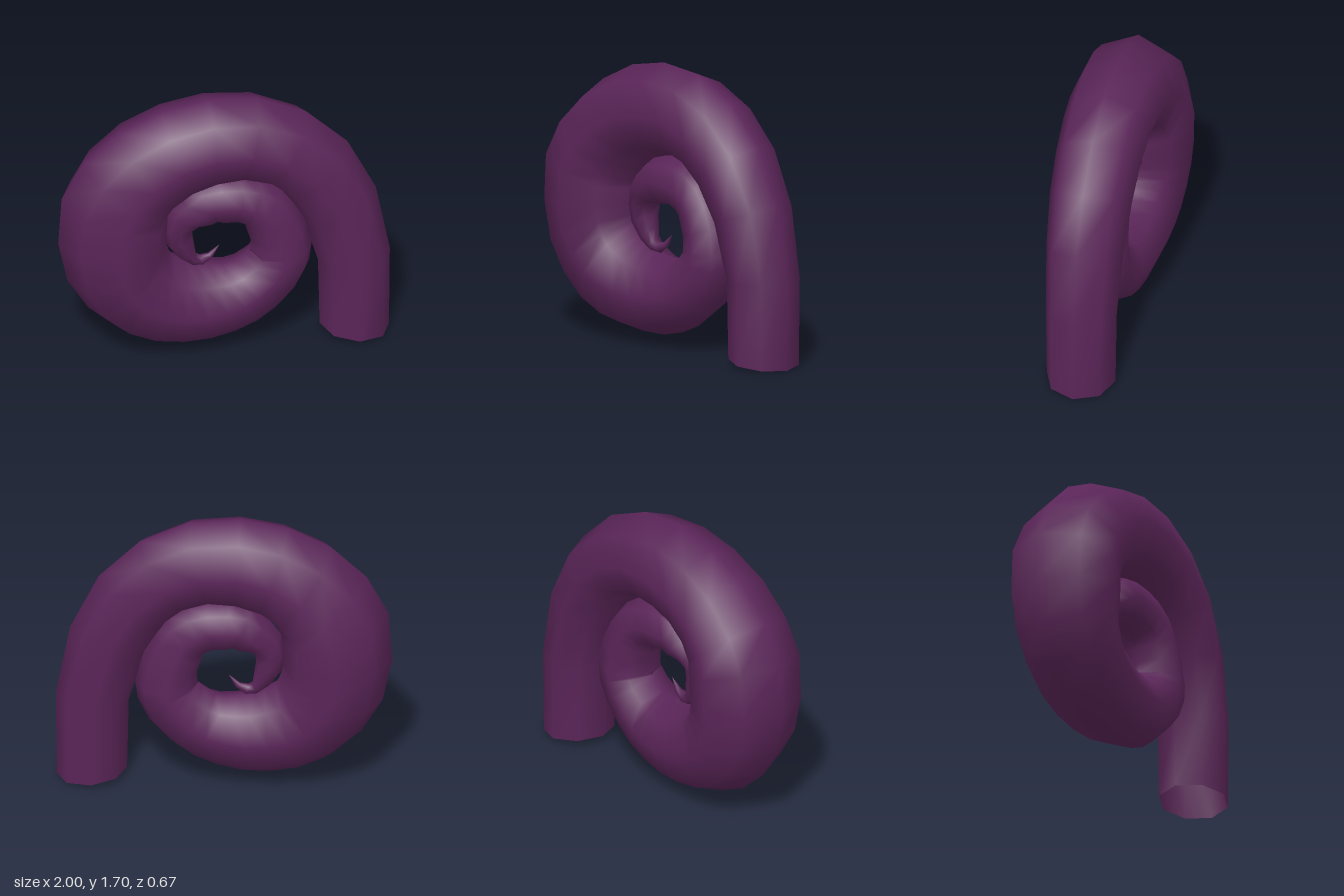
import * as THREE from 'three';

const SIDES = 8;

// Outer edge of the coil, from the open foot to the pointed tip: x, y, tube radius
const RINGS = [
  [0.99, 0.005, 0.21], [0.995, 0.54, 0.217], [0.91, 0.98, 0.235], [0.74, 1.32, 0.25],
  [0.5, 1.55, 0.258], [0.205, 1.68, 0.268], [-0.1, 1.705, 0.28], [-0.38, 1.65, 0.29],
  [-0.64, 1.525, 0.305], [-0.85, 1.33, 0.32], [-0.98, 1.09, 0.335], [-1, 0.78, 0.332],
  [-0.945, 0.515, 0.32], [-0.82, 0.31, 0.308], [-0.65, 0.16, 0.295], [-0.47, 0.08, 0.282],
  [-0.28, 0.05, 0.268], [-0.1, 0.055, 0.25], [0.065, 0.095, 0.235], [0.205, 0.155, 0.218],
  [0.32, 0.24, 0.205], [0.44, 0.37, 0.195], [0.51, 0.51, 0.19], [0.525, 0.63, 0.185],
  [0.49, 0.8, 0.175], [0.42, 0.95, 0.17], [0.34, 1.05, 0.165], [0.22, 1.12, 0.16],
  [0.1, 1.15, 0.155], [-0.04, 1.155, 0.155], [-0.17, 1.13, 0.15], [-0.27, 1.04, 0.14],
  [-0.345, 0.94, 0.115], [-0.37, 0.82, 0.093], [-0.345, 0.7, 0.083], [-0.27, 0.6, 0.063],
  [-0.2, 0.55, 0.04], [-0.13, 0.545, 0.033], [-0.07, 0.59, 0.02], [-0.03, 0.67, 0.0005],
];

// Sweeps an octagon along the coil, each ring touching its outer edge point
function coilGeometry() {
  const edge = RINGS.map(([x, y]) => new THREE.Vector2(x, y));
  const last = edge.length - 1;
  const step = (i) => edge[i + 1].clone().sub(edge[i]).normalize();
  const tangent = (i) => {
    if (i === 0) return step(0).multiplyScalar(2).sub(tangent(1)).normalize();
    if (i === last) return step(last - 1);
    return step(i - 1).add(step(i)).normalize();
  };

  const positions = [];
  const indices = [];
  edge.forEach((p, i) => {
    const r = RINGS[i][2];
    const t = tangent(i);
    const outX = t.y, outY = -t.x;
    for (let j = 0; j < SIDES; j++) {
      const a = (j / SIDES) * Math.PI * 2;
      const d = r * (Math.cos(a) - 1);
      positions.push(p.x + outX * d, p.y + outY * d, r * Math.sin(a));
      if (i < last) {
        const k = (j + 1) % SIDES;
        const a0 = i * SIDES + j, b0 = i * SIDES + k;
        indices.push(a0, a0 + SIDES, b0, b0, a0 + SIDES, b0 + SIDES);
      }
    }
  });

  const geometry = new THREE.BufferGeometry();
  geometry.setAttribute('position', new THREE.Float32BufferAttribute(positions, 3));
  geometry.setIndex(indices);
  geometry.computeVertexNormals();
  return geometry;
}

export function createModel() {
  const group = new THREE.Group();
  group.name = 'curledTentacle';

  // The foot is open, so the inside shows too
  const plum = new THREE.MeshStandardMaterial({ color: 0x5a2558, side: THREE.DoubleSide });
  plum.name = 'plum purple';

  const coil = new THREE.Mesh(coilGeometry(), plum);
  coil.name = 'spiralCoil';
  group.add(coil);
  return group;
}
